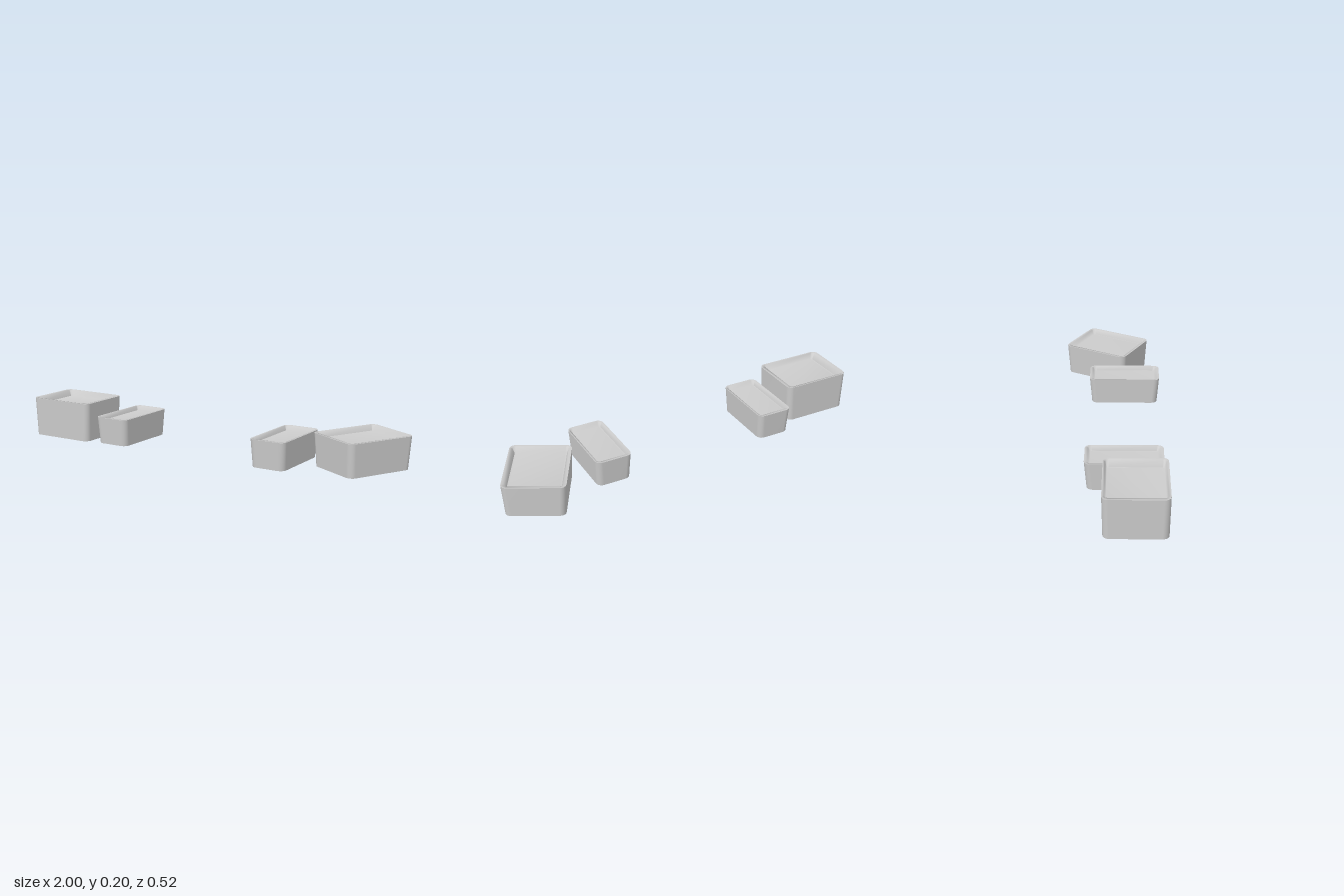
import * as THREE from 'three';

const CORNER_STEPS = 5;

// Rounded rectangle as a list of [x, z] points
function ringPoints(w, d, r) {
  const pts = [];
  const centres = [[1, 1], [-1, 1], [-1, -1], [1, -1]];
  centres.forEach(([sx, sz], q) => {
    for (let i = 0; i <= CORNER_STEPS; i++) {
      const a = (q + i / CORNER_STEPS) * Math.PI / 2;
      pts.push([
        sx * (w / 2 - r) + r * Math.cos(a),
        sz * (d / 2 - r) + r * Math.sin(a),
      ]);
    }
  });
  return pts;
}

// Skin between rings { w, d, r, y }; the last ring can be closed with a floor
function loft(rings, floor) {
  const pos = [], idx = [];
  const n = 4 * (CORNER_STEPS + 1);
  for (const { w, d, r, y } of rings) {
    for (const [x, z] of ringPoints(w, d, r)) pos.push(x, y, z);
  }
  for (let k = 0; k < rings.length - 1; k++) {
    for (let i = 0; i < n; i++) {
      const a = k * n + i, b = k * n + (i + 1) % n;
      idx.push(a, a + n, b, b, a + n, b + n);
    }
  }
  if (floor) {
    const s = (rings.length - 1) * n;
    for (let i = 0; i < n / 2 - 1; i++) {
      const a = s + i, b = s + i + 1, c = s + n - 1 - i, e = s + n - 2 - i;
      idx.push(a, c, b, b, c, e);
    }
  }
  const geo = new THREE.BufferGeometry();
  geo.setAttribute('position', new THREE.Float32BufferAttribute(pos, 3));
  geo.setIndex(idx);
  geo.computeVertexNormals();
  return geo;
}

// Tapered tray, hollow underneath, with a shallow recess in the top.
// ix and iz: how far the foot is drawn in; tx and tz: width of the rim
function makeTray({ name, x, z, w, d, h, ix, iz, tx, tz, turn = 0 }) {
  const mat = new THREE.MeshStandardMaterial({ color: 0xcccccc, side: THREE.DoubleSide });
  const r = 0.03;
  const ring = (dx, dz, rad, y) => ({ w: w - 2 * dx, d: d - 2 * dz, r: rad, y });

  const tray = new THREE.Group();
  tray.name = name;
  const add = (part, geo) => {
    const mesh = new THREE.Mesh(geo, mat);
    mesh.name = part;
    tray.add(mesh);
  };

  // Side wall, open at the bottom
  add('outerWall', loft([ring(ix, iz, r, 0), ring(0, 0, r, h)], false));
  // Rim running smoothly into the recessed floor
  add('recessedTop', loft([
    ring(0, 0, r, h),
    ring(tx * 0.6, tz * 0.6, 0.016, h),
    ring(tx, tz, 0.008, h * 0.84),
  ], true));

  tray.position.set(x, 0, z);
  tray.rotation.y = turn;
  return tray;
}

export function createModel() {
  const model = new THREE.Group();
  model.name = 'trays';
  const small = { z: 0.06, w: 0.19, d: 0.372, h: 0.138, ix: 0.007, iz: 0.011, tx: 0.018, tz: 0.026 };
  const trays = [
    { name: 'tallTray', x: -0.817, z: 0.112, w: 0.366, d: 0.298, h: 0.2,
      ix: 0.008, iz: 0.004, tx: 0.031, tz: 0.019 },
    { ...small, name: 'rightSmallTray', x: -0.495 },
    { ...small, name: 'leftSmallTray', x: 0.425 },
    { name: 'turnedTray', x: 0.79, z: -0.038, w: 0.305, d: 0.371, h: 0.163,
      ix: 0.009, iz: 0.009, tx: 0.025, tz: 0.025, turn: -THREE.MathUtils.degToRad(28) },
  ];
  trays.forEach((t) => model.add(makeTray(t)));
  return model;
}
